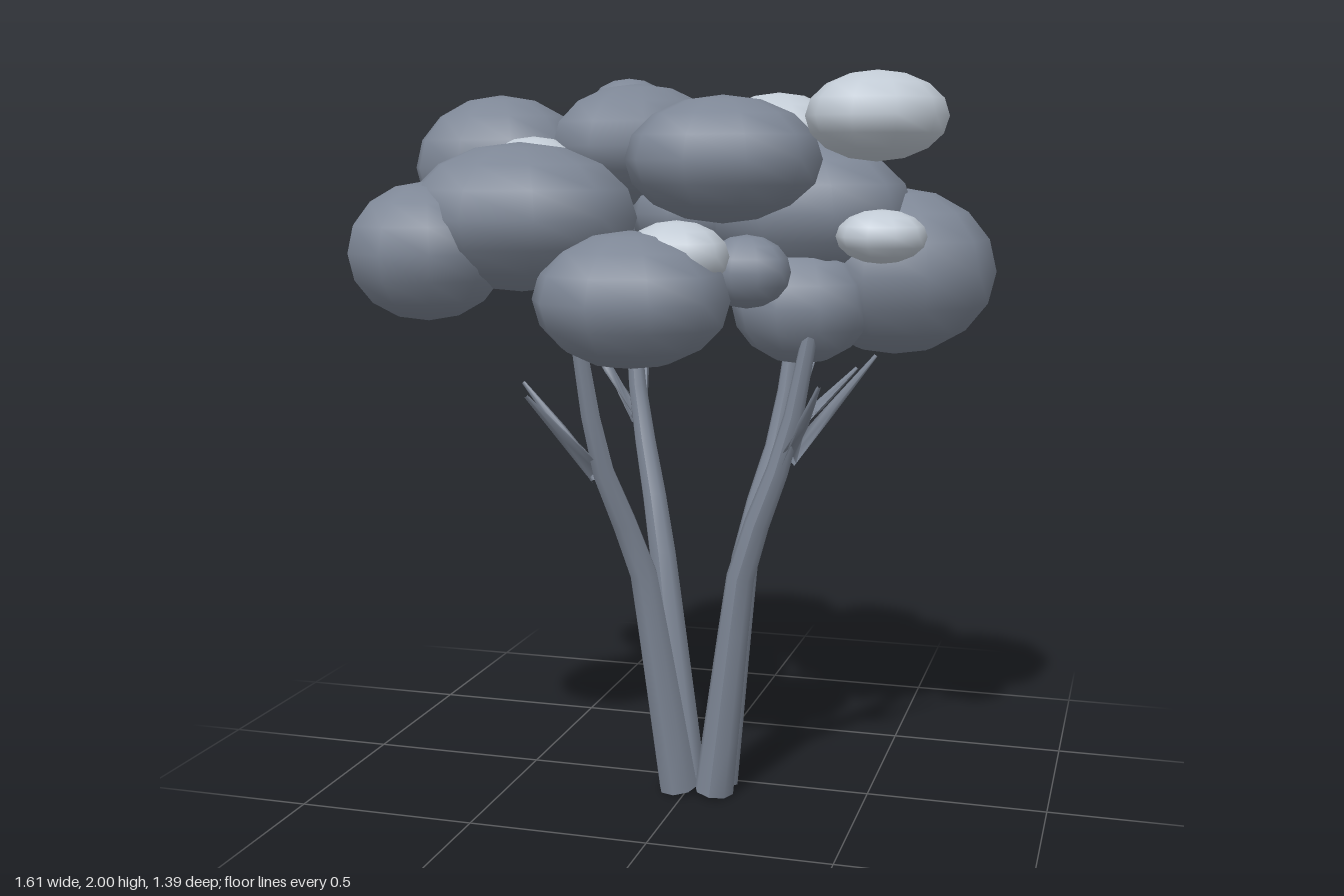
import * as THREE from 'three';

const dark = new THREE.MeshStandardMaterial({ color: 0x7e8796 });
const light = new THREE.MeshStandardMaterial({ color: 0xc2cbd5 });
const vec = (p) => new THREE.Vector3(...p);

// Tube through the points, its rings scaled to taper from r0 to r1
function limb(name, points, r0, r1, steps, sides) {
  const curve = new THREE.CatmullRomCurve3(points.map(vec), false, 'catmullrom', 0.12);
  const geo = new THREE.TubeGeometry(curve, steps, 1, sides, false);
  const pos = geo.attributes.position;
  const p = new THREE.Vector3();
  for (let i = 0; i < pos.count; i++) {
    const t = Math.floor(i / (sides + 1)) / steps;
    const c = curve.getPointAt(t);
    p.fromBufferAttribute(pos, i).sub(c).multiplyScalar(THREE.MathUtils.lerp(r0, r1, t)).add(c);
    pos.setXYZ(i, p.x, Math.max(p.y, 0), p.z);
  }
  geo.computeVertexNormals();
  const mesh = new THREE.Mesh(geo, dark);
  mesh.name = name;
  return mesh;
}

// Each stem: path from the ground into the crown, then tips of its twigs
const stems = [
  { path: [[0.08, 0.01, 0.11], [0.17, 0.68, 0.155], [0.3, 1.03, 0.18], [0.38, 1.42, 0.2]],
    twigs: [[0.53, 1.27, 0.16], [0.42, 1.21, 0.36]] },
  { path: [[-0.025, 0.01, 0.11], [-0.1, 0.66, 0.2], [-0.19, 0.99, 0.31], [-0.23, 1.42, 0.39]],
    twigs: [[-0.41, 1.18, 0.28], [-0.31, 1.18, 0.52]] },
  { path: [[0.075, 0.01, 0.04], [0.14, 0.7, -0.02], [0.22, 1.03, -0.1], [0.26, 1.45, -0.16]],
    twigs: [[0.43, 1.2, -0.12], [0.27, 1.2, -0.31]] },
  { path: [[-0.02, 0.01, 0.04], [-0.12, 0.72, -0.03], [-0.21, 1.08, -0.12], [-0.25, 1.45, -0.16]],
    twigs: [[-0.41, 1.31, -0.16], [-0.24, 1.31, -0.32]] },
];

// Leaf clumps: centre x, y, z, radii x, y, z, then an optional turn
const darkClumps = [
  [-0.18, 1.81, -0.035, 0.24, 0.17, 0.32],
  [0.13, 1.775, 0.22, 0.26, 0.165, 0.24],
  [-0.56, 1.75, 0.03, 0.25, 0.2, 0.235],
  [-0.39, 1.625, 0.33, 0.31, 0.195, 0.3],
  [-0.6, 1.54, 0.46, 0.21, 0.18, 0.22],
  [-0.05, 1.425, 0.45, 0.255, 0.175, 0.24],
  [0.53, 1.47, -0.14, 0.275, 0.23, 0.28],
  [-0.35, 1.605, -0.4, 0.33, 0.19, 0.275, Math.PI / 4],
  [0.31, 1.39, 0.07, 0.19, 0.16, 0.18],
  [0.28, 1.635, -0.03, 0.31, 0.195, 0.26],
  [0.27, 1.56, -0.36, 0.155, 0.12, 0.14],
  [0.04, 1.5, -0.36, 0.205, 0.16, 0.195],
  [0.21, 1.49, 0.28, 0.115, 0.095, 0.1],
  [-0.25, 1.92, -0.17, 0.115, 0.08, 0.1],
  [0, 1.63, 0.02, 0.18, 0.14, 0.18],
];
const lightClumps = [
  [0.525, 1.885, 0.18, 0.183, 0.115, 0.207],
  [0.56, 1.585, 0.29, 0.115, 0.068, 0.105],
  [0.075, 1.82, -0.22, 0.215, 0.12, 0.23],
  [0.205, 1.835, -0.1, 0.18, 0.12, 0.16],
  [-0.4, 1.74, 0.2, 0.145, 0.095, 0.125],
  [0.06, 1.535, 0.41, 0.135, 0.09, 0.115],
  [0.02, 1.58, -0.36, 0.19, 0.08, 0.15],
];

export function createModel() {
  const model = new THREE.Group();
  model.name = 'tree';

  // Stems with twigs
  for (const { path, twigs } of stems) {
    const stem = new THREE.Group();
    stem.name = 'stem';
    stem.add(limb('trunk', path, 0.056, 0.018, 9, 8));
    const foot = new THREE.Mesh(new THREE.CircleGeometry(0.056, 8), dark);
    foot.name = 'trunkBase';
    foot.rotation.x = Math.PI / 2;
    foot.position.set(path[0][0], 0.005, path[0][2]);
    stem.add(foot);
    const [x, y, z] = path[2];
    for (const tip of twigs) stem.add(limb('twig', [[x, y - 0.05, z], tip], 0.024, 0.005, 2, 6));
    model.add(stem);
  }

  // Crown of squashed low-poly balls
  const crown = new THREE.Group();
  crown.name = 'crown';
  const ball = new THREE.SphereGeometry(1, 10, 8).rotateY(Math.PI / 20);
  const addClumps = (list, material, name) => {
    for (const [x, y, z, rx, ry, rz, turn = 0] of list) {
      const clump = new THREE.Mesh(ball, material);
      clump.name = name;
      clump.position.set(x, y, z);
      clump.scale.set(rx, ry, rz);
      clump.rotation.y = turn;
      crown.add(clump);
    }
  };
  addClumps(darkClumps, dark, 'leafClump');
  addClumps(lightClumps, light, 'paleLeafClump');
  model.add(crown);
  return model;
}
